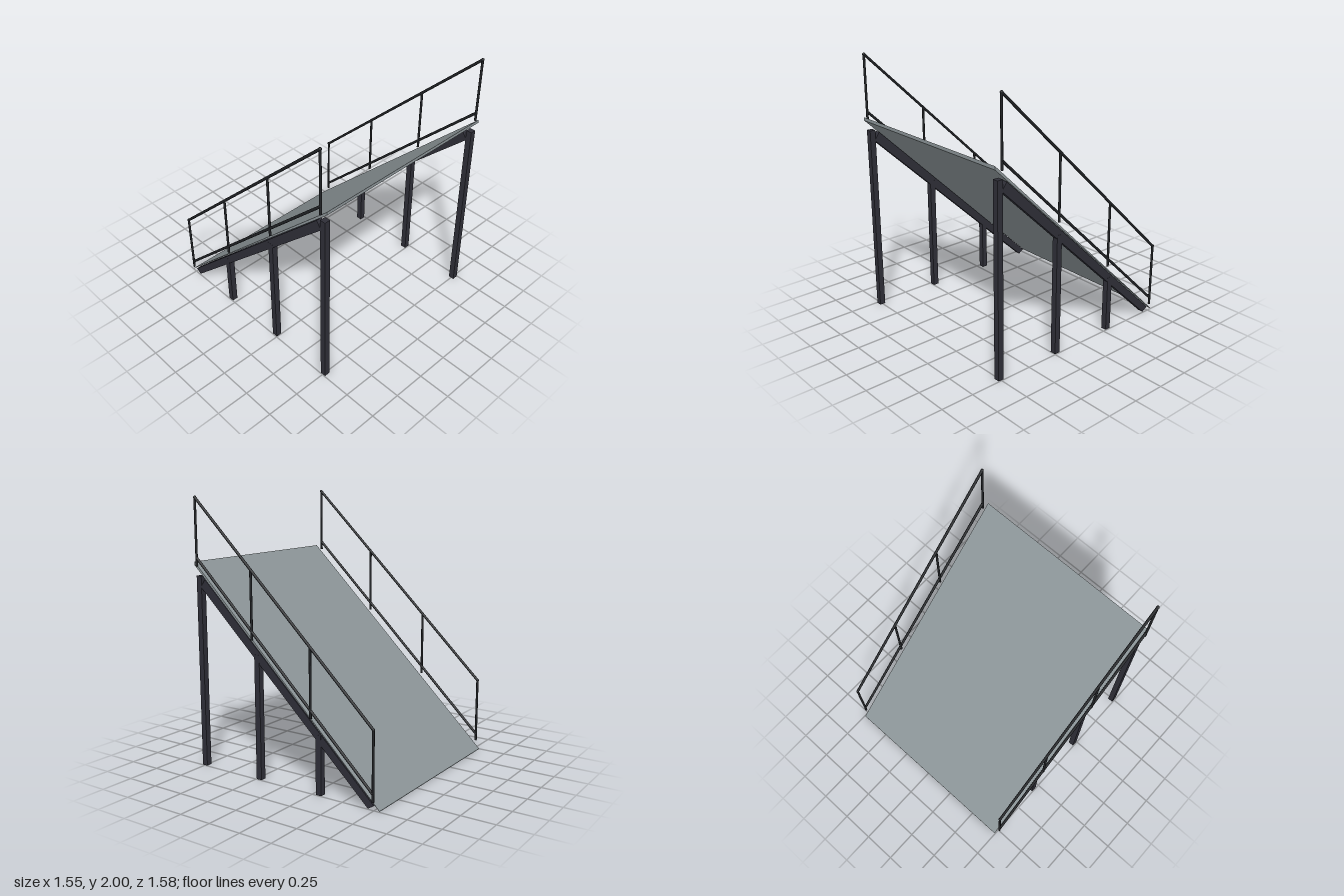
import * as THREE from 'three';

const material = (name, color) => {
  const m = new THREE.MeshStandardMaterial({ color });
  m.name = name;
  return m;
};

// Side profile of [z, y] points, extruded across x from x0 to x1
function slab(name, points, x0, x1, mat) {
  const shape = new THREE.Shape(points.map(([z, y]) => new THREE.Vector2(-z, y)));
  const geometry = new THREE.ExtrudeGeometry(shape, { depth: x1 - x0, bevelEnabled: false });
  geometry.rotateY(Math.PI / 2);
  geometry.translate(x0, 0, 0);
  const mesh = new THREE.Mesh(geometry, mat);
  mesh.name = name;
  return mesh;
}

// Round bar between two [z, y] points at a given x
function bar(name, x, [z0, y0], [z1, y1], radius, mat) {
  const a = new THREE.Vector3(x, y0, z0);
  const b = new THREE.Vector3(x, y1, z1);
  const dir = b.clone().sub(a);
  const mesh = new THREE.Mesh(new THREE.CylinderGeometry(radius, radius, dir.length(), 12), mat);
  mesh.position.copy(a).add(b).multiplyScalar(0.5);
  mesh.quaternion.setFromUnitVectors(new THREE.Vector3(0, 1, 0), dir.normalize());
  mesh.name = name;
  return mesh;
}

export function createModel() {
  const model = new THREE.Group();
  model.name = 'ramp';
  const deckGrey = material('deck grey', 0x8b9497);
  const frameDark = material('frame charcoal', 0x2e2e37);
  const railBlack = material('rail black', 0x1f2124);

  // Sloping deck, thinning out to the ground
  model.add(slab('deck', [[0.79, 1.53], [0.79, 1.505], [-0.79, 0], [-0.79, 0.004]], -0.745, 0.745, deckGrey));

  const beamProfile = [[0.735, 1.35], [0.695, 1.408], [-0.745, 0.03], [-0.7, 0]];
  const legs = [[0.75, 1.43], [0.225, 0.915], [-0.3, 0.43]];
  const railTop = (z) => 1.2705 + z * 0.957;

  for (const side of [-1, 1]) {
    const label = side > 0 ? 'left' : 'right';

    // Support frame: sloping beam and three legs
    const frame = new THREE.Group();
    frame.name = label + 'Frame';
    const inner = side * 0.702, outer = side * 0.744;
    frame.add(slab('beam', beamProfile, Math.min(inner, outer), Math.max(inner, outer), frameDark));
    for (const [z, height] of legs) {
      const leg = new THREE.Mesh(new THREE.BoxGeometry(0.044, height, 0.044), frameDark);
      leg.position.set(side * 0.723, height / 2, z);
      leg.name = 'leg';
      frame.add(leg);
    }
    model.add(frame);

    // Railing: handrail, lower rail and four uprights
    const railing = new THREE.Group();
    railing.name = label + 'Railing';
    const x = side * 0.762;
    railing.add(bar('handrail', x, [0.75, railTop(0.75)], [-0.75, railTop(-0.75)], 0.01, railBlack));
    railing.add(bar('lowerRail', x, [0.75, railTop(0.75) - 0.427], [-0.75, railTop(-0.75) - 0.437], 0.01, railBlack));
    for (const z of [0.75, 0.25, -0.25, -0.75]) {
      railing.add(bar('upright', x, [z, railTop(z) - 0.49], [z, railTop(z)], 0.009, railBlack));
    }

    // Rounded joints at the ends of the handrail
    for (const z of [0.75, -0.75]) {
      const joint = new THREE.Mesh(new THREE.SphereGeometry(0.0115, 12, 8), railBlack);
      joint.position.set(x, railTop(z), z);
      joint.name = 'railJoint';
      railing.add(joint);
    }
    model.add(railing);
  }
  return model;
}
